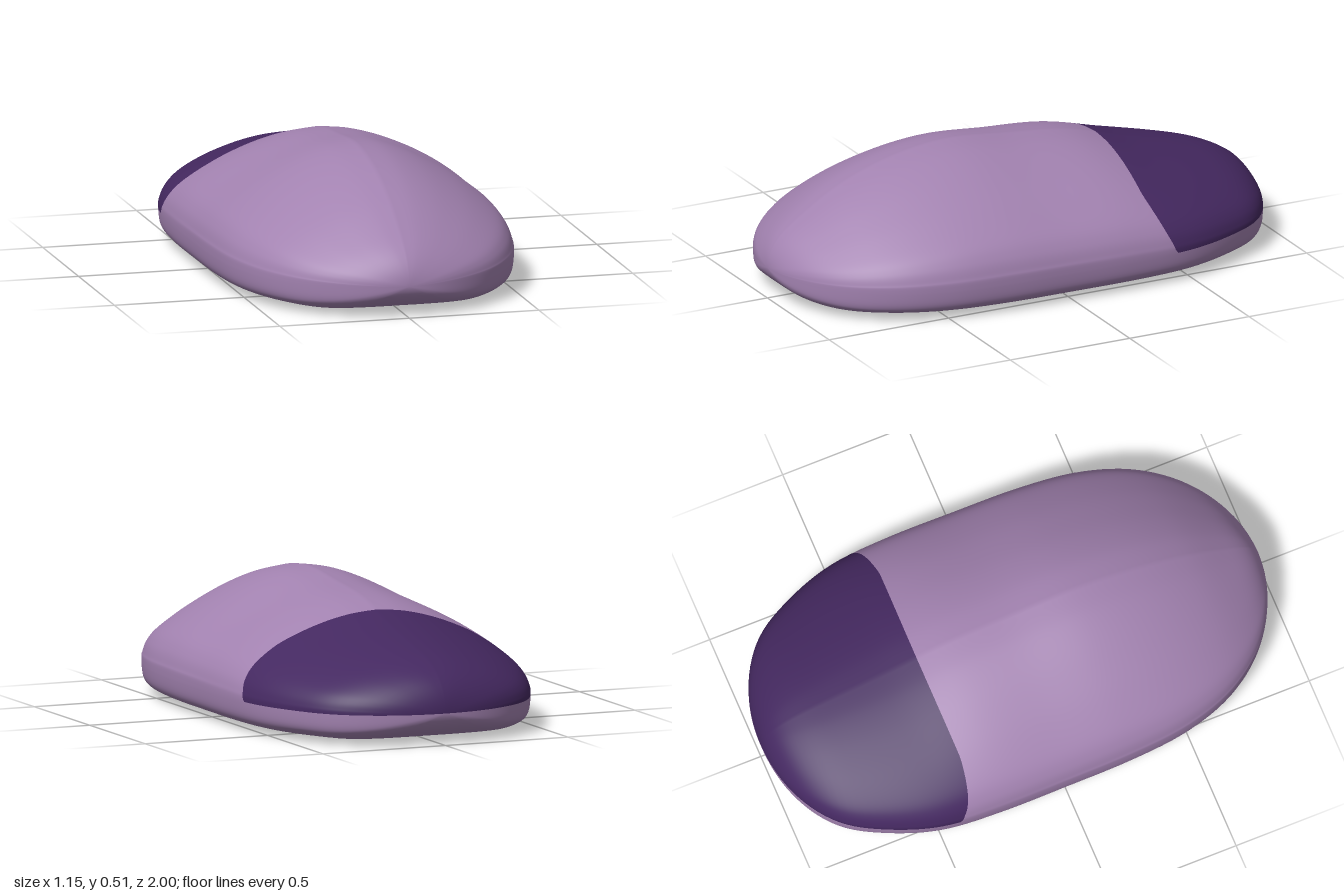
import * as THREE from 'three';

const MID = 0.12;               // height of the widest line
const ROWS = 76, SPLIT = 48;    // rows front to back, and the row where the rear panel starts
const STEP = 6;                 // samples per section point

// Smooth curve through evenly spaced values, t in 0..1
function profile(values) {
  const curve = new THREE.SplineCurve(values.map((v, i) => new THREE.Vector2(i, v)));
  return t => curve.getPoint(t).y;
}

// Ratios to sin(angle), front (0) to back (1)
const width = profile([0.68, 0.68, 0.68, 0.66, 0.624, 0.587, 0.572, 0.593, 0.639, 0.679, 0.744, 0.78, 0.8]);
const rise = profile([0.37, 0.367, 0.36, 0.389, 0.404, 0.399, 0.365, 0.347, 0.309, 0.308, 0.34, 0.386, 0.41]);
const drop = profile([0.24, 0.232, 0.2, 0.158, 0.135, 0.124, 0.12, 0.124, 0.135, 0.158, 0.2, 0.232, 0.24]);

// Half cross-section from crown to belly: x as part of the width, y as part of rise or drop
const sectionPoints = [
  [0, 1], [0.175, 0.96], [0.35, 0.87], [0.526, 0.74], [0.7, 0.585], [0.877, 0.39], [0.955, 0.25], [0.99, 0.12],
  [1, 0], [0.985, -0.5], [0.93, -0.75], [0.79, -0.92], [0.6, -0.98], [0.3, -1], [0, -1],
].map(p => new THREE.Vector2(...p));
const HALF = (sectionPoints.length - 1) * STEP, LOOP = HALF * 2, EDGE = 8 * STEP;
const section = new THREE.SplineCurve(sectionPoints).getPoints(HALF);

// z of the rear panel's front edge at section height g
function seamZ(g) {
  if (g > 0.6) return -0.36 - 0.015 * (g - 0.6) / 0.4;
  return -0.36 - 0.07 * Math.pow((0.6 - Math.max(g, 0)) / 0.6, 1.5);
}

function surfacePoint(row, j) {
  const side = j <= HALF ? 1 : -1;
  const p = section[side > 0 ? j : LOOP - j];
  const seam = Math.acos(seamZ(p.y));
  const angle = row <= SPLIT
    ? seam * row / SPLIT
    : seam + (Math.PI - seam) * (row - SPLIT) / (ROWS - SPLIT);
  const t = angle / Math.PI, s = Math.sin(angle), z = Math.cos(angle);
  let g = p.y;
  if (g > 0) { // the crown gets rounder toward the back
    const round = Math.sqrt(Math.max(0, 1 - p.x * p.x));
    g += (round - g) * 0.4 * THREE.MathUtils.smoothstep(-z, -0.2, 0.5);
  }
  return [side * p.x * width(t) * s, MID + g * s * (g > 0 ? rise(t) : drop(t)), z];
}

export function createModel() {
  const positions = [], bodyIndex = [], panelIndex = [];
  for (let i = 0; i <= ROWS; i++) {
    for (let j = 0; j < LOOP; j++) positions.push(...surfacePoint(i, j));
  }
  for (let i = 0; i < ROWS; i++) {
    for (let j = 0; j < LOOP; j++) {
      const k = (j + 1) % LOOP;
      const a = i * LOOP + j, b = i * LOOP + k, c = a + LOOP, d = b + LOOP;
      const onTop = j < EDGE || j >= LOOP - EDGE;
      const target = i >= SPLIT && onTop ? panelIndex : bodyIndex;
      if (i > 0) target.push(a, b, c);
      if (i < ROWS - 1) target.push(b, d, c);
    }
  }

  // Normals of the whole shell, so the shading runs on across the seam
  const shell = new THREE.BufferGeometry();
  shell.setAttribute('position', new THREE.Float32BufferAttribute(positions, 3));
  shell.setIndex([...bodyIndex, ...panelIndex]);
  shell.computeVertexNormals();
  for (let j = 0; j < LOOP; j++) {
    shell.attributes.normal.setXYZ(j, 0, 0, 1);
    shell.attributes.normal.setXYZ(ROWS * LOOP + j, 0, 0, -1);
  }

  const group = new THREE.Group();
  const addPart = (name, index, color) => {
    const geometry = shell.clone();
    geometry.setIndex(index);
    const mesh = new THREE.Mesh(geometry, new THREE.MeshStandardMaterial({ color }));
    mesh.name = name;
    group.add(mesh);
  };
  addPart('body', bodyIndex, 0xa282b0);
  addPart('rearPanel', panelIndex, 0x442860);
  return group;
}
